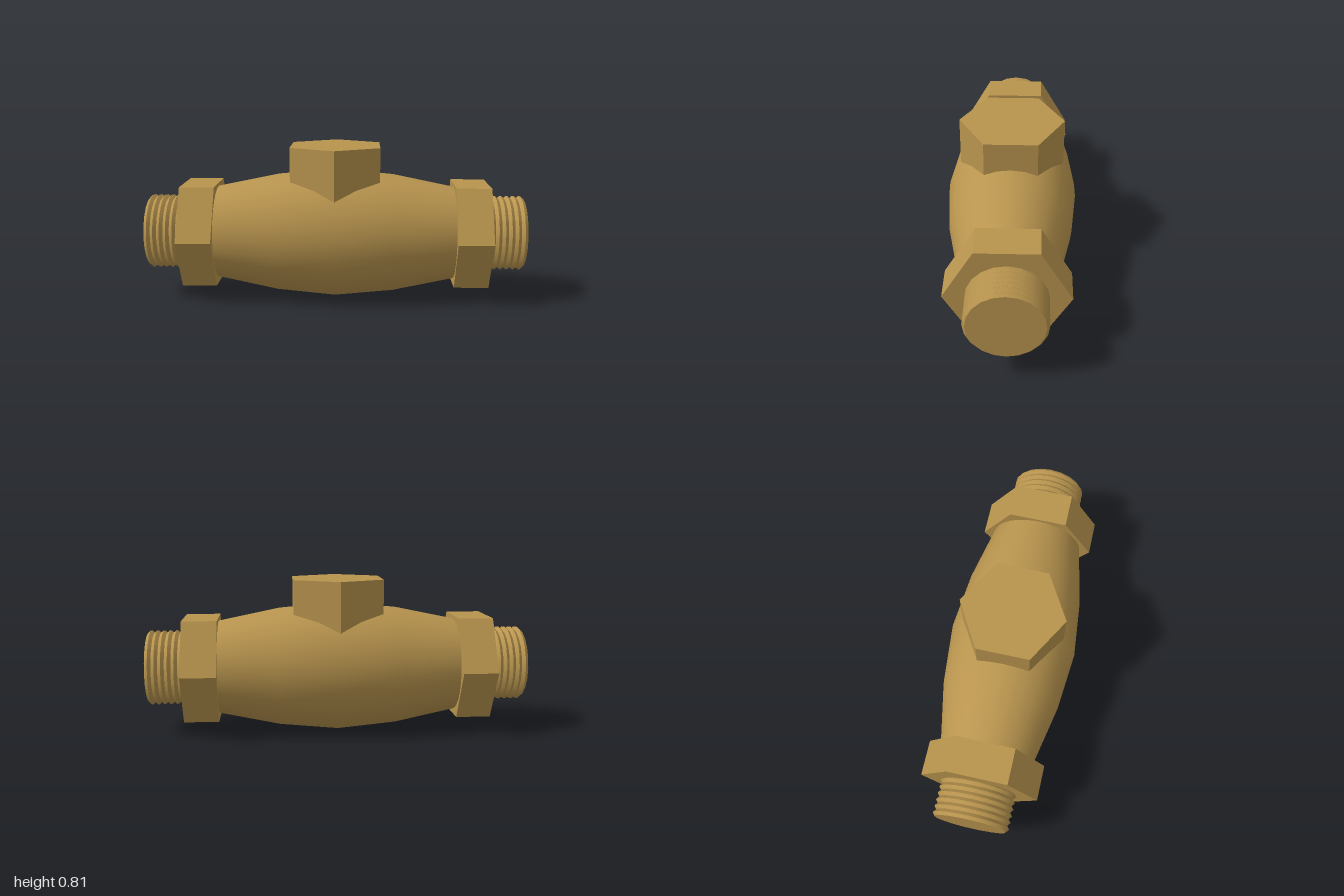
import * as THREE from 'three';
import { toCreasedNormals } from 'three/addons/utils/BufferGeometryUtils.js';

const AXIS_Y = 0.344;

export function createModel() {
  const group = new THREE.Group();
  const brass = new THREE.MeshStandardMaterial({ color: 0xb8944e });
  brass.name = 'brass';

  const add = (name, geometry, x = 0, y = AXIS_Y) => {
    const mesh = new THREE.Mesh(geometry, brass);
    mesh.name = name;
    mesh.position.set(x, y, 0);
    group.add(mesh);
    return mesh;
  };

  // Hexagonal prism along y with corners on +z and -z
  const hexPrism = (radius, height) =>
    toCreasedNormals(new THREE.CylinderGeometry(radius, radius, height, 6), 0.5);

  // Turned shape from [radius, position] pairs, laid along the x axis
  const turned = (points, segments, crease) => {
    const lathe = new THREE.LatheGeometry(points.map(([r, t]) => new THREE.Vector2(r, t)), segments);
    return (crease ? toCreasedNormals(lathe, crease) : lathe).rotateZ(-Math.PI / 2);
  };

  // Barrel-shaped valve body
  add('body', turned([
    [0.245, -0.64], [0.313, -0.31], [0.342, 0], [0.313, 0.31], [0.245, 0.64],
  ], 28));

  // Hexagonal bonnet on top, sunk into the body
  add('bonnet', hexPrism(0.27, 0.36), 0, 0.634);

  // Thread profile: a row of V ridges closed by a flat end
  const ridges = 6, start = 0.8, pitch = 0.2 / ridges;
  const profile = [[0.185, start]];
  for (let i = 0; i < ridges; i++) {
    profile.push([0.199, start + (i + 0.5) * pitch], [0.185, start + (i + 1) * pitch]);
  }
  profile.push([0, 1]);

  // Matching nut and threaded stub at each end
  for (const side of [1, -1]) {
    const label = side > 0 ? 'left' : 'right';
    add(`${label}Nut`, hexPrism(0.306, 0.182).rotateZ(Math.PI / 2), side * 0.719);
    const thread = add(`${label}Thread`, turned(profile, 20, 0.6));
    if (side < 0) thread.rotation.y = Math.PI;
  }

  return group;
}
